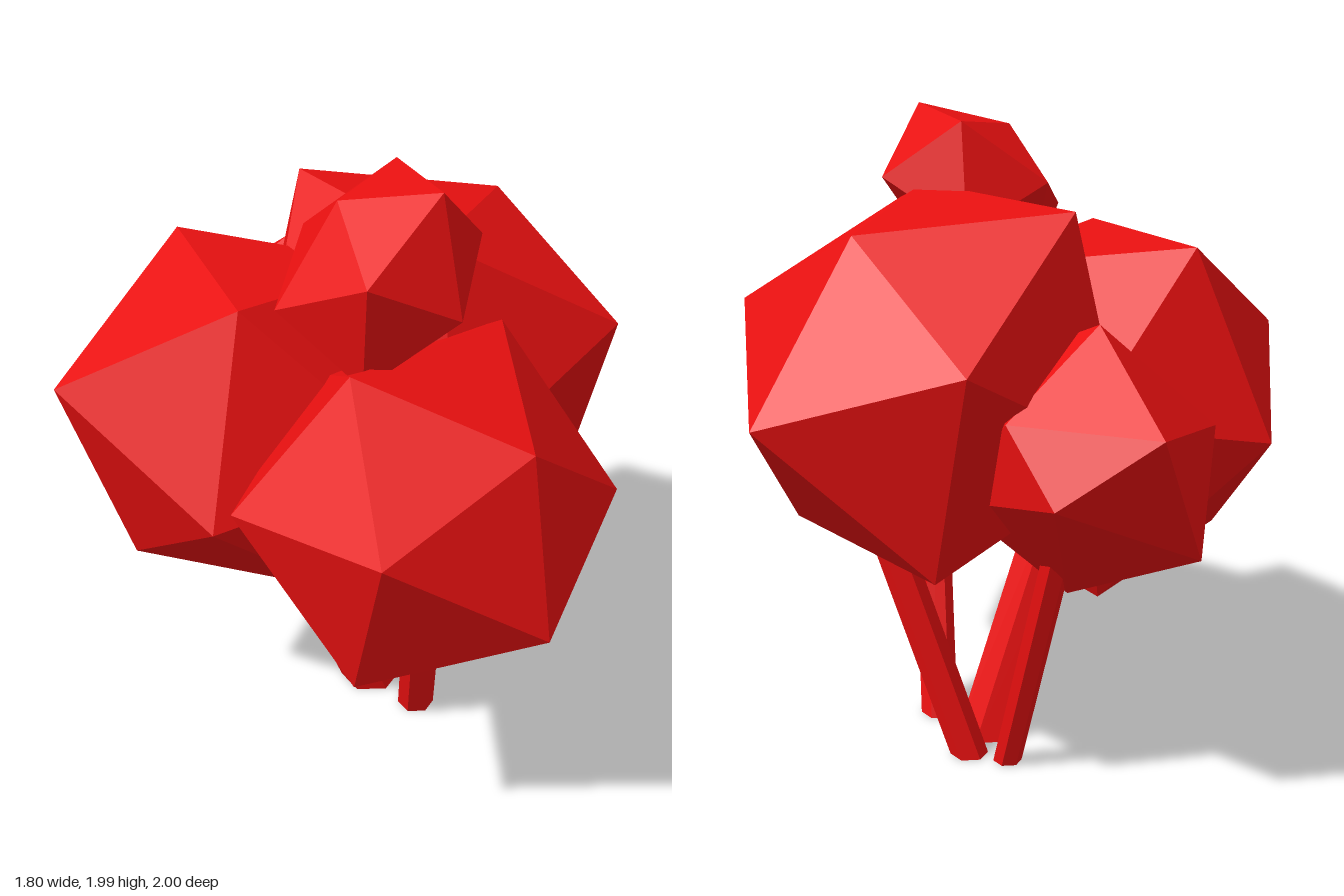
import * as THREE from 'three';
import { ConvexGeometry } from 'three/addons/geometries/ConvexGeometry.js';

const red = new THREE.MeshStandardMaterial({ color: 0xe81010, flatShading: true });

// Irregular icosahedron: a tip and the ring of five around it, mirrored through the centre
function crown(name, centre, half) {
  const c = new THREE.Vector3(...centre);
  const points = [];
  for (const corner of half) {
    const p = new THREE.Vector3(...corner);
    points.push(p, c.clone().multiplyScalar(2).sub(p));
  }
  const mesh = new THREE.Mesh(new ConvexGeometry(points), red);
  mesh.name = name;
  return mesh;
}

// Leaning six-sided stem with level ends
function stem(name, radius, [x0, z0], [x1, z1], height) {
  const geometry = new THREE.CylinderGeometry(radius, radius, height, 6);
  geometry.translate(0, height / 2, 0);
  const position = geometry.attributes.position;
  for (let i = 0; i < position.count; i++) {
    const t = position.getY(i) / height;
    position.setX(i, position.getX(i) + x0 + (x1 - x0) * t);
    position.setZ(i, position.getZ(i) + z0 + (z1 - z0) * t);
  }
  geometry.computeVertexNormals();
  const mesh = new THREE.Mesh(geometry, red);
  mesh.name = name;
  return mesh;
}

export function createModel() {
  const tree = new THREE.Group();
  tree.name = 'tree';

  // Foliage
  tree.add(
    crown('leftCrown', [0.28, 1.25, -0.10], [
      [0.90, 1.18, -0.14],
      [0.56, 1.69, -0.14], [0.61, 1.43, 0.42], [0.53, 0.75, 0.27],
      [0.50, 0.74, -0.45], [0.53, 1.38, -0.65],
    ]),
    crown('rightCrown', [-0.28, 1.10, -0.20], [
      [-0.90, 1.30, -0.33],
      [-0.37, 1.62, -0.54], [-0.49, 1.62, 0.08], [-0.68, 1.02, 0.23],
      [-0.69, 0.65, -0.32], [-0.48, 1.06, -0.77],
    ]),
    crown('frontCrown', [-0.13, 1.10, 0.51], [
      [-0.06, 0.89, 1.00],
      [-0.01, 1.38, 0.83], [0.40, 1.07, 0.71], [0.10, 0.65, 0.56],
      [-0.47, 0.67, 0.65], [-0.52, 1.22, 0.87],
    ]),
    crown('topCrown', [-0.13, 1.72, 0.25], [
      [-0.23, 1.93, 0.19],
      [-0.04, 1.99, 0.42], [-0.33, 1.81, 0.50], [-0.44, 1.66, 0.20],
      [-0.20, 1.77, -0.05], [0.04, 1.96, 0.07],
    ]),
    crown('backCrown', [0.07, 1.05, -0.57], [
      [0.15, 1.23, -1.00],
      [0.06, 1.46, -0.62], [0.39, 1.23, -0.63], [0.37, 1.03, -0.82],
      [-0.07, 0.83, -0.92], [-0.24, 1.16, -0.78],
    ]),
  );

  // Stems
  tree.add(
    stem('leftStem', 0.06, [0.18, -0.16], [0.39, 0.08], 0.9),
    stem('rightStem', 0.1, [0.04, -0.07], [-0.28, -0.07], 0.8),
    stem('frontStem', 0.06, [0.09, 0.14], [-0.08, 0.44], 0.9),
    stem('backStem', 0.045, [0.11, -0.27], [0.14, -0.57], 0.85),
  );
  return tree;
}
